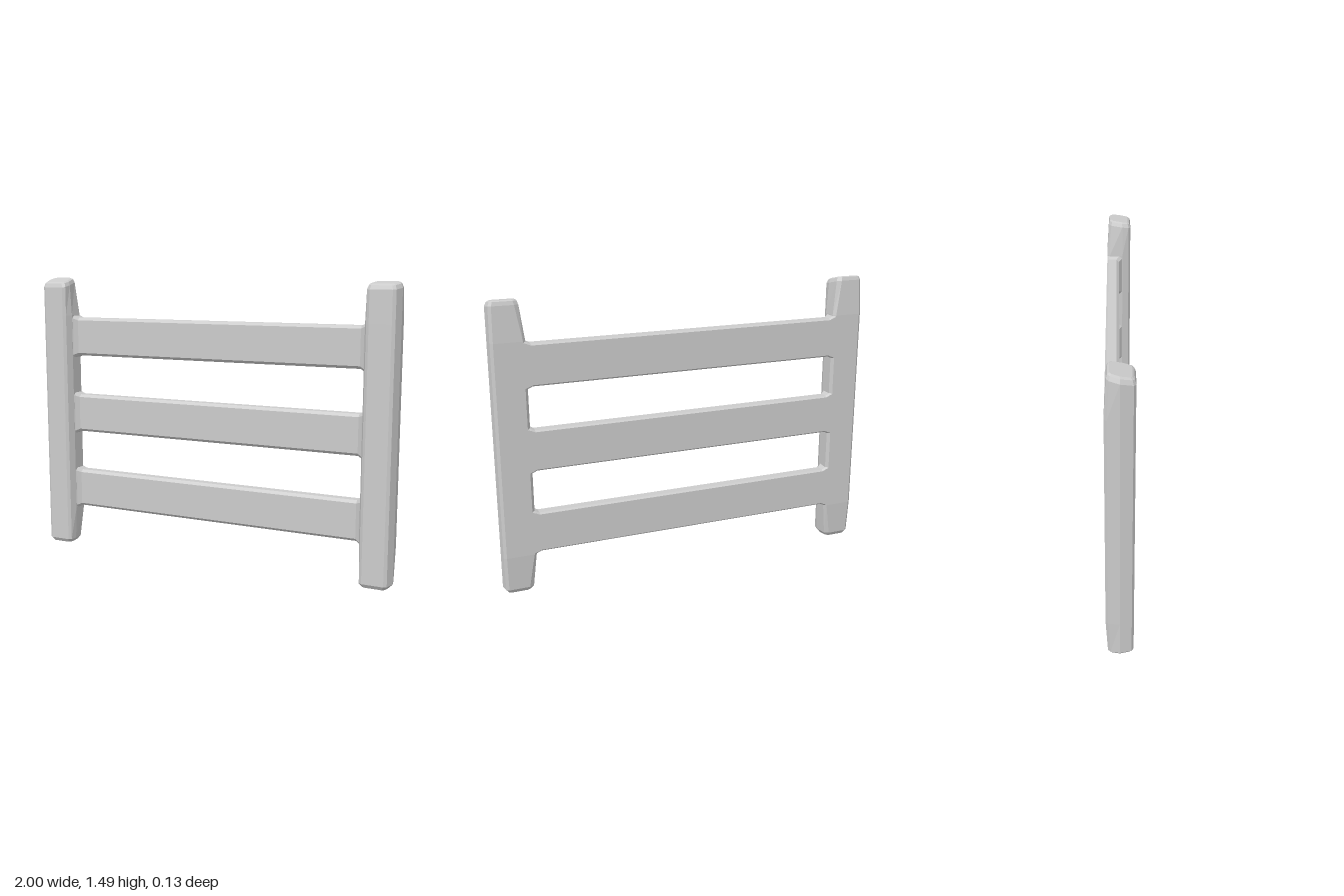
import * as THREE from 'three';

const material = new THREE.MeshStandardMaterial({ color: 0xcccccc, flatShading: true });

// Skin a list of rings (counterclockwise seen from the end of the path) and cap both ends.
function loft(name, rings) {
  const n = rings[0].length;
  const positions = rings.flat(2);
  const index = [];
  for (let i = 0; i < rings.length - 1; i++) {
    for (let j = 0; j < n; j++) {
      const k = (j + 1) % n;
      const a = i * n + j, b = i * n + k, c = b + n, d = a + n;
      index.push(a, b, c, a, c, d);
    }
  }
  const last = (rings.length - 1) * n;
  for (let j = 1; j < n - 1; j++) {
    index.push(0, j + 1, j, last, last + j, last + j + 1);
  }
  const indexed = new THREE.BufferGeometry();
  indexed.setAttribute('position', new THREE.Float32BufferAttribute(positions, 3));
  indexed.setIndex(index);
  const geometry = indexed.toNonIndexed();
  geometry.computeVertexNormals();
  const mesh = new THREE.Mesh(geometry, material);
  mesh.name = name;
  return mesh;
}

// Post: bevelled section, its back narrowing toward both ends, with a sloped top.
function makePost(name, side, top, slope) {
  const section = (taper) => {
    const back = -0.066 + 0.01 * taper;
    const inner = 0.03 * taper;
    return [
      [0.86, 0.065], [0.97, 0.065], [0.985, 0.055], [1, 0],
      [0.996 - 0.004 * taper, back + 0.012], [0.982 - 0.004 * taper, back],
      [0.842 + inner, back], [0.828 + inner * 0.7, back + 0.014],
      [0.83 + inner * 0.3, 0.02], [0.845, 0.055],
    ];
  };
  const ring = (y, taper, shrink = 1, tilt = 0) => {
    const points = section(taper).map(([x, z]) => [
      side * (0.915 + (x - 0.915) * shrink), y - tilt * z * shrink, z * shrink,
    ]);
    return side > 0 ? points : points.reverse();
  };
  return loft(name, [
    ring(0, 1, 0.8), ring(0.02, 1), ring(0.2, 0), ring(1.29, 0),
    ring(top - 0.025, 1, 1, slope), ring(top - 0.006, 1, 0.9, slope), ring(top, 1, 0.76, slope),
  ]);
}

// Rail: bevelled plank, flush with the back of the posts and flared where it meets them.
function makeRail(name, y) {
  const ring = (x, h, front) => [
    [h, -0.057], [h, front - 0.014], [h - 0.014, front], [-h + 0.014, front],
    [-h, front - 0.014], [-h, -0.057], [-h + 0.008, -0.066], [h - 0.008, -0.066],
  ].map(([dy, z]) => [x, y + dy, z]);
  const flare = [[0.86, 0.125, 0.045], [0.825, 0.113, 0.014], [0.805, 0.104, 0]];
  return loft(name, [
    ...flare.map(([x, h, f]) => ring(-x, h, f)),
    ...flare.reverse().map(([x, h, f]) => ring(x, h, f)),
  ]);
}

export function createModel() {
  const fence = new THREE.Group();
  fence.name = 'fence';
  fence.add(makePost('leftPost', 1, 1.481, 0.12));
  fence.add(makePost('rightPost', -1, 1.483, 0.25));
  const rails = { lowerRail: 0.315, middleRail: 0.745, upperRail: 1.172 };
  for (const [name, y] of Object.entries(rails)) fence.add(makeRail(name, y));
  return fence;
}
